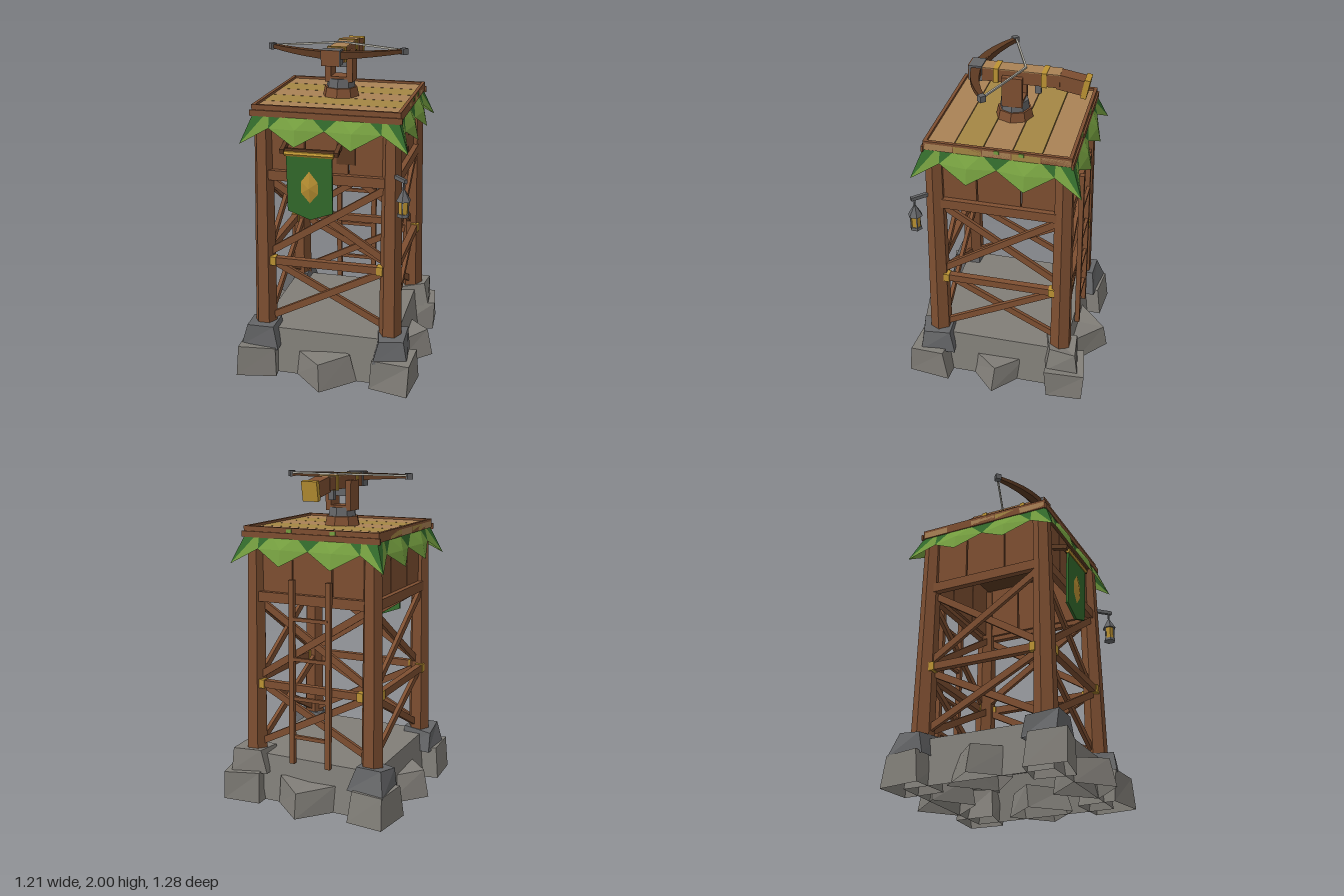
import * as THREE from 'three';

const mat = (name, color, side = THREE.FrontSide) => {
  const m = new THREE.MeshStandardMaterial({ color, flatShading: true, side });
  m.name = name;
  return m;
};
const wood = mat('wood', 0x7e4f31);
const darkWood = mat('dark wood', 0x5d3a22);
const tan = mat('tan plank', 0xaa8255);
const olive = mat('olive plank', 0xa48744);
const stone = mat('stone', 0x817e78, THREE.DoubleSide);
const iron = mat('iron and dark stone', 0x656668, THREE.DoubleSide);
const leaf = mat('light leaf', 0x76a040, THREE.DoubleSide);
const darkLeaf = mat('dark leaf', 0x336b2c, THREE.DoubleSide);
const gold = mat('gold', 0xbc9333);
const cord = mat('cord', 0xb2afa4);

let seed = 7;
const rnd = () => ((seed = (seed * 16807) % 2147483647) / 2147483647) - 0.5;

function add(parent, name, geo, material, x = 0, y = 0, z = 0) {
  const m = new THREE.Mesh(geo, material);
  m.name = name;
  m.position.set(x, y, z);
  parent.add(m);
  return m;
}
const box = (p, name, m, w, h, d, x, y, z) => add(p, name, new THREE.BoxGeometry(w, h, d), m, x, y, z);
const cyl = (p, name, m, rt, rb, h, n, x, y, z) => add(p, name, new THREE.CylinderGeometry(rt, rb, h, n), m, x, y, z);

// Straight beam between two points, in the parent's own frame
function beam(p, name, m, a, b, w, h) {
  const va = new THREE.Vector3(...a), vb = new THREE.Vector3(...b);
  const o = new THREE.Mesh(new THREE.BoxGeometry(w, h, va.distanceTo(vb)), m);
  o.name = name;
  o.position.copy(va).lerp(vb, 0.5);
  o.lookAt(vb);
  p.add(o);
}

// Drop the underside faces, leaving a hollow shell
function openBottom(g, start, count) {
  const index = [...g.index.array];
  index.splice(start, count);
  g.setIndex(index);
  g.clearGroups();
}

// Irregular hollow block with a narrower top
function rock(p, name, m, x, y0, z, w, h, turn, taper) {
  const g = new THREE.BoxGeometry(w, h, w);
  openBottom(g, 18, 6);
  const pos = g.attributes.position, shift = {};
  for (let i = 0; i < pos.count; i++) {
    const v = new THREE.Vector3().fromBufferAttribute(pos, i);
    const key = [v.x > 0, v.y > 0, v.z > 0].join();
    shift[key] ??= [rnd() * 0.035, rnd() * 0.035, rnd() * 0.035];
    const t = v.y > 0 ? taper : 1, s = shift[key];
    pos.setXYZ(i, v.x * t + s[0], v.y > 0 ? v.y + s[1] : v.y, v.z * t + s[2]);
  }
  add(p, name, g, m, x, y0 + h / 2, z).rotation.y = turn;
}

function triangles(p, name, m, list) {
  const g = new THREE.BufferGeometry();
  g.setAttribute('position', new THREE.Float32BufferAttribute(list.flat(2), 3));
  g.computeVertexNormals();
  add(p, name, g, m);
}

function buildBase(root) {
  const slab = cyl(root, 'stoneSlab', stone, 0.6, 0.65, 0.29, 4, 0, 0.145, 0);
  openBottom(slab.geometry, slab.geometry.index.count - 12, 12);
  slab.rotation.y = Math.PI / 4;
  for (let i = 0; i < 4; i++) {
    const a = i * Math.PI / 2, c = a + Math.PI / 4;
    rock(root, 'sideRock', stone, Math.sin(a) * 0.4, 0, Math.cos(a) * 0.45, 0.28, 0.16, Math.PI / 4, 0.88);
    rock(root, 'cornerRock', stone, Math.sin(c) * 0.605, 0, Math.cos(c) * 0.605, 0.25, 0.19, 0.12 * (i % 2 ? 1 : -1), 0.88);
    rock(root, 'footRock', i === 1 ? stone : iron, Math.sin(c) * 0.575, 0.18, Math.cos(c) * 0.575, 0.22, 0.14, rnd() * 0.3, 0.8);
  }
}

function buildLegs(root) {
  for (const sx of [-1, 1]) for (const sz of [-1, 1]) {
    const leg = cyl(root, 'leg', wood, 0.055, 0.07, 1.36, 6, sx * 0.386, 0.94, sz * 0.384);
    leg.geometry.rotateY(Math.PI / 6);
    leg.rotation.set(-sz * 0.01, 0, sx * 0.01);
  }
}

// One face of the tower: bracing, wall planks, leaf skirt
function buildSide(root, k) {
  const s = new THREE.Group();
  s.name = 'towerSide';
  s.rotation.y = k * Math.PI / 2;
  root.add(s);
  for (const d of [-1, 1]) {
    const z = 0.382 + d * 0.012;
    beam(s, 'lowerBrace', wood, [-0.35 * d, 0.36, z], [0.35 * d, 0.72, z], 0.024, 0.042);
    beam(s, 'upperBrace', wood, [-0.35 * d, 0.79, z], [0.35 * d, 1.24, z], 0.024, 0.042);
    box(s, 'beamClamp', gold, 0.036, 0.054, 0.05, d * 0.328, 0.74, 0.412);
  }
  box(s, 'middleBeam', wood, 0.66, 0.046, 0.04, 0, 0.74, 0.41);
  box(s, 'wallSill', wood, 0.76, 0.06, 0.04, 0, 1.28, 0.4);
  for (let i = -1; i <= 1; i++) box(s, 'wallPlank', wood, 0.252, 0.36, 0.025, i * 0.26, 1.46, 0.375);

  // Leaf skirt: points hang outward with notches between them
  const top = x => [x, 1.65, 0.425];
  const light = [], dark = [];
  for (const c of [-0.165, 0.165]) {
    const tip = [c, 1.48, 0.495], mid = [c, 1.575, 0.475];
    const l = [c - 0.165, 1.57, 0.445], r = [c + 0.165, 1.57, 0.445];
    light.push([l, tip, mid], [mid, tip, r], [l, mid, top(c - 0.08)], [mid, r, top(c + 0.08)], [mid, top(c + 0.08), top(c - 0.08)]);
    dark.push([l, top(c - 0.08), top(c - 0.165)], [r, top(c + 0.165), top(c + 0.08)]);
  }
  for (const d of [-1, 1]) {
    const tip = [d * 0.492, 1.48, 0.492], notch = [d * 0.33, 1.57, 0.445];
    light.push([top(d * 0.33), notch, top(d * 0.35)], [top(d * 0.35), notch, tip]);
    dark.push([top(d * 0.35), tip, top(d * 0.425)]);
  }
  // Wind every face outward
  const outward = t => {
    const [a, b, c] = t.map(q => new THREE.Vector3(...q));
    return b.sub(a).cross(c.sub(a)).z < 0 ? [t[0], t[2], t[1]] : t;
  };
  triangles(s, 'leafSkirt', leaf, light.map(outward));
  triangles(s, 'darkLeafSkirt', darkLeaf, dark.map(outward));
}

function buildRoof(root) {
  for (let i = -2; i <= 2; i++)
    box(root, 'roofPlank', i % 2 ? olive : tan, 0.87, 0.04, 0.163, 0, 1.665, i * 0.167);
  box(root, 'roofUnderside', darkWood, 0.84, 0.012, 0.82, 0, 1.638, 0);
  for (const d of [-1, 1]) {
    box(root, 'roofRimLong', wood, 0.87, 0.055, 0.02, 0, 1.672, d * 0.414);
    box(root, 'roofRimShort', wood, 0.02, 0.055, 0.83, d * 0.425, 1.672, 0);
    box(root, 'roofEdge', wood, 0.89, 0.035, 0.012, 0, 1.652, d * 0.428);
    // Small sprigs poking over the rim
    box(root, 'leafSprig', leaf, 0.035, 0.02, 0.02, d * 0.14 - 0.01, 1.682, -0.42);
    box(root, 'leafSprig', leaf, 0.02, 0.02, 0.03, 0.43, 1.682, d * 0.07 - 0.07);
  }
}

function buildLadder(root) {
  for (const x of [-0.13, 0.11]) beam(root, 'ladderRail', wood, [x, 0.27, -0.45], [x, 1.4, -0.435], 0.032, 0.03);
  for (let i = 0; i < 4; i++) box(root, 'ladderRung', wood, 0.24, 0.022, 0.02, -0.01, 0.44 + i * 0.243, -0.445);
}

function buildBanner(root) {
  const g = new THREE.Group();
  g.name = 'banner';
  g.position.set(-0.08, 1.44, 0.475);
  g.rotation.x = 0.04;
  root.add(g);
  const cloth = new THREE.Shape([[-0.135, 0], [-0.135, -0.35], [0, -0.4], [0.135, -0.35], [0.135, 0]].map(q => new THREE.Vector2(...q)));
  add(g, 'bannerCloth', new THREE.ExtrudeGeometry(cloth, { depth: 0.016, bevelEnabled: false }), darkLeaf, 0, 0, -0.008);
  cyl(g, 'bannerRod', gold, 0.015, 0.015, 0.29, 6, 0, 0, 0.006).rotation.z = Math.PI / 2;
  box(g, 'bannerRail', darkWood, 0.35, 0.022, 0.018, 0, 0.015, -0.014);
  // Raised leaf ornament with a centre ridge
  const L = [[0, 0.1], [-0.05, 0.035], [-0.05, -0.035], [0, -0.095], [0.05, -0.035], [0.05, 0.035]];
  const rim = L.map(([x, y]) => [x, y - 0.2, 0.009]);
  const ridge = [0, -0.2, 0.026];
  triangles(g, 'bannerOrnament', gold, rim.map((p, i) => [p, rim[(i + 1) % 6], ridge]));
  for (const d of [-1, 1]) beam(g, 'bannerBracket', darkWood, [d * 0.16, 0.035, -0.09], [d * 0.16, 0.01, 0.01], 0.025, 0.028);
  box(root, 'wallHatch', darkWood, 0.11, 0.18, 0.008, 0.115, 1.46, 0.39);
}

function buildLantern(root) {
  beam(root, 'lanternArm', iron, [0.39, 1.33, 0.4], [0.485, 1.33, 0.5], 0.02, 0.022);
  const g = new THREE.Group();
  g.name = 'lantern';
  g.position.set(0.47, 0, 0.485);
  root.add(g);
  cyl(g, 'lanternHook', iron, 0.006, 0.006, 0.06, 5, 0, 1.3, 0);
  cyl(g, 'lanternCap', iron, 0.008, 0.045, 0.065, 6, 0, 1.245, 0);
  cyl(g, 'lanternGlass', gold, 0.031, 0.028, 0.085, 6, 0, 1.175, 0);
  cyl(g, 'lanternBase', iron, 0.035, 0.038, 0.018, 6, 0, 1.128, 0);
  for (let i = 0; i < 6; i += 2) {
    const a = i * Math.PI / 3;
    box(g, 'lanternBar', iron, 0.007, 0.09, 0.007, Math.sin(a) * 0.031, 1.175, Math.cos(a) * 0.031);
  }
}

function buildCrossbow(root) {
  const g = new THREE.Group();
  g.name = 'crossbow';
  g.position.x = -0.01;
  root.add(g);
  cyl(g, 'pedestal', wood, 0.1, 0.112, 0.055, 8, 0, 1.713, 0);
  cyl(g, 'swivel', iron, 0.082, 0.088, 0.055, 8, 0, 1.766, 0);
  for (const d of [-1, 1]) box(g, 'forkArm', wood, 0.035, 0.18, 0.12, d * 0.066, 1.865, 0);
  box(g, 'forkFoot', wood, 0.16, 0.02, 0.12, 0, 1.797, 0);
  box(g, 'stock', wood, 0.1, 0.075, 0.48, 0, 1.947, -0.03);
  box(g, 'stockTop', tan, 0.1, 0.006, 0.48, 0, 1.987, -0.03);
  beam(g, 'stockButt', wood, [0, 1.945, -0.255], [0, 1.92, -0.405], 0.09, 0.09);
  beam(g, 'buttCap', gold, [0, 1.919, -0.4], [0, 1.913, -0.432], 0.098, 0.115);
  for (const z of [-0.18, 0.1]) box(g, 'stockBand', gold, 0.114, 0.088, 0.03, 0, 1.949, z);
  box(g, 'noseCap', iron, 0.112, 0.09, 0.076, 0, 1.952, 0.219);
  box(g, 'noseFace', wood, 0.104, 0.09, 0.006, 0, 1.952, 0.26);
  box(g, 'trigger', iron, 0.03, 0.07, 0.035, 0, 1.88, -0.14);
  box(g, 'pivotBlock', iron, 0.09, 0.05, 0.05, 0, 1.885, 0);
  // Curved bow limbs, thinner and higher toward the tips
  const s = new THREE.Shape();
  s.moveTo(-0.395, 0.1);
  s.quadraticCurveTo(0, 0.39, 0.395, 0.1);
  s.lineTo(0.385, 0.075);
  s.quadraticCurveTo(0, 0.3, -0.385, 0.075);
  const bow = new THREE.ExtrudeGeometry(s, { depth: 1, bevelEnabled: false, curveSegments: 10 });
  bow.translate(0, 0, -0.5).rotateX(Math.PI / 2);
  const p = bow.attributes.position;
  for (let i = 0; i < p.count; i++) {
    const t = Math.abs(p.getX(i)) / 0.395;
    p.setY(i, p.getY(i) * (0.046 - 0.024 * t) + 0.017 * t);
  }
  bow.computeVertexNormals();
  add(g, 'bowLimbs', bow, darkWood, 0, 1.963, 0);
  for (const d of [-1, 1]) {
    box(g, 'bowTip', iron, 0.036, 0.036, 0.036, d * 0.395, 1.98, 0.09).rotation.y = Math.PI / 4;
    beam(g, 'bowString', cord, [d * 0.395, 1.985, 0.085], [0, 1.993, -0.065], 0.011, 0.011);
  }
}

export function createModel() {
  const root = new THREE.Group();
  root.name = 'watchtower';
  buildBase(root);
  buildLegs(root);
  for (let k = 0; k < 4; k++) buildSide(root, k);
  buildRoof(root);
  buildLadder(root);
  buildBanner(root);
  buildLantern(root);
  buildCrossbow(root);
  return root;
}
